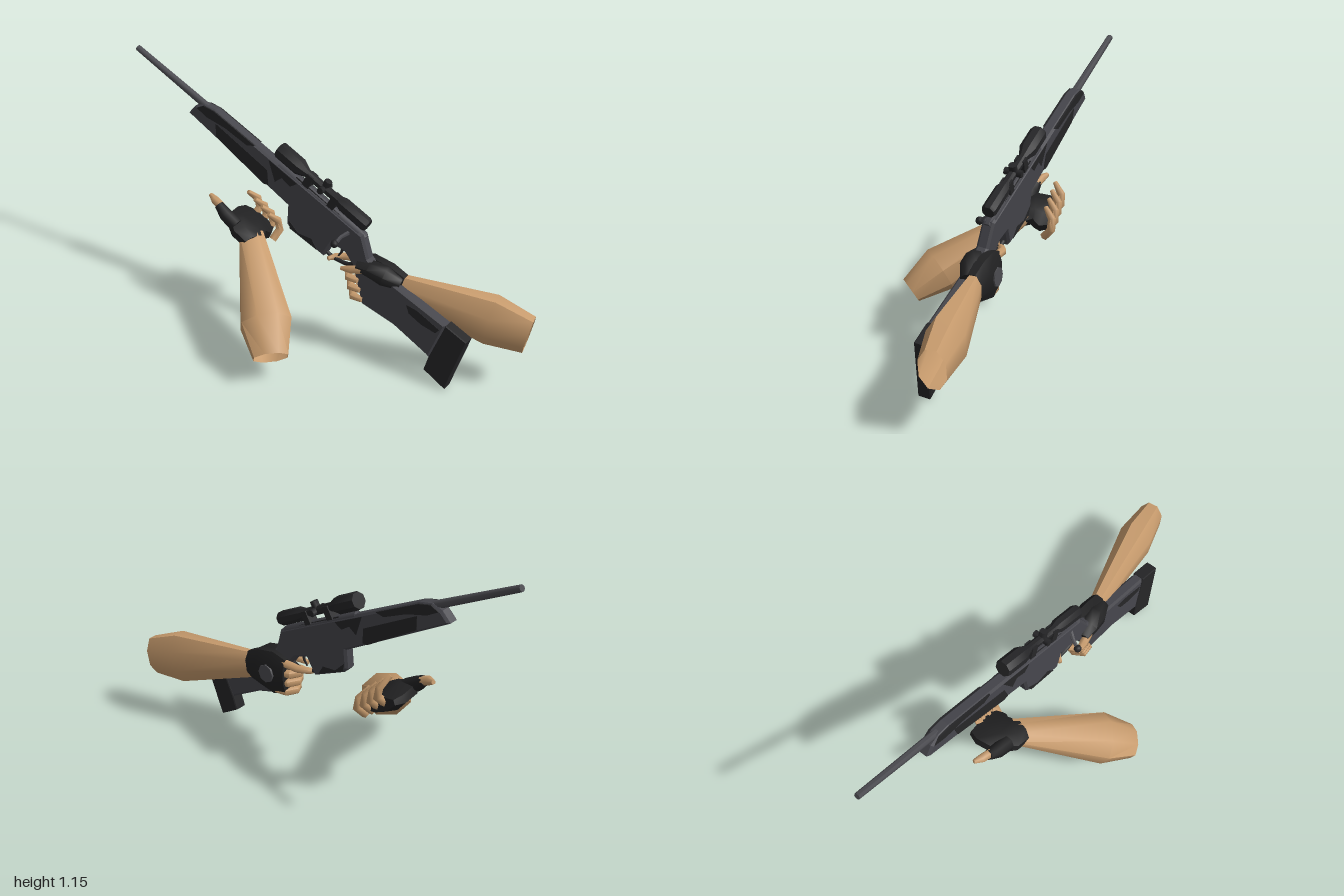
import * as THREE from 'three';
import { toCreasedNormals } from 'three/addons/utils/BufferGeometryUtils.js';

const material = (name, color, side = THREE.FrontSide) => {
  const m = new THREE.MeshStandardMaterial({ color, side });
  m.name = name;
  return m;
};

export function createModel() {
  const grey = material('stock grey', 0x45454b);
  const steel = material('barrel steel', 0x4b4b50);
  const black = material('black', 0x252527);
  const glove = material('glove black', 0x212122);
  const patchGrey = material('glove patch grey', 0x4c4c50);
  const skin = material('skin', 0xc79b6d, THREE.DoubleSide);

  const root = new THREE.Group();
  const rifle = new THREE.Group();
  const leftArm = new THREE.Group();
  const rightArm = new THREE.Group();
  root.name = 'armsWithRifle';
  rifle.name = 'rifle';
  leftArm.name = 'forwardArm';
  rightArm.name = 'triggerArm';
  root.add(rifle, leftArm, rightArm);

  const add = (parent, name, geometry, mat) => {
    const mesh = new THREE.Mesh(geometry, mat);
    mesh.name = name;
    parent.add(mesh);
    return mesh;
  };

  // Side outline extruded to a given thickness, centred on z = 0
  const slab = (name, points, thickness, mat, bevel = 0) => {
    const shape = new THREE.Shape(points.map(p => new THREE.Vector2(...p)));
    const depth = thickness - 2 * bevel;
    const g = new THREE.ExtrudeGeometry(shape, {
      depth, bevelEnabled: bevel > 0, bevelThickness: bevel,
      bevelSize: bevel, bevelOffset: -bevel, bevelSegments: 1,
    });
    return add(rifle, name, g.translate(0, 0, -depth / 2), mat);
  };

  // Skin over elliptical rings: each section is [x, y, z, halfWidth, halfHeight]
  const loft = (parent, name, sections, mat, { ref = [0, 1, 0], sides = 8, caps = true, crease = 0.9 } = {}) => {
    const centres = sections.map(s => new THREE.Vector3(s[0], s[1], s[2]));
    const up = new THREE.Vector3(...ref);
    const pos = [], index = [], last = sections.length - 1;
    sections.forEach(([, , , w, h = w], i) => {
      const t = centres[Math.min(i + 1, last)].clone().sub(centres[Math.max(i - 1, 0)]).normalize();
      const S = t.clone().cross(up).normalize();
      const U = t.clone().cross(S);
      for (let j = 0; j < sides; j++) {
        const a = ((j + 0.5) / sides) * Math.PI * 2;
        const p = centres[i].clone().addScaledVector(S, w * Math.cos(a)).addScaledVector(U, h * Math.sin(a));
        pos.push(p.x, p.y, p.z);
      }
    });
    for (let i = 0; i < last; i++) {
      for (let j = 0; j < sides; j++) {
        const k = (j + 1) % sides;
        const a = i * sides + j, b = i * sides + k, c = a + sides, d = b + sides;
        index.push(a, b, c, b, d, c);
      }
    }
    if (caps) {
      const first = pos.length / 3, end = last * sides;
      pos.push(...centres[0].toArray(), ...centres[last].toArray());
      for (let j = 0; j < sides; j++) {
        const k = (j + 1) % sides;
        index.push(first, k, j, first + 1, end + j, end + k);
      }
    }
    const g = new THREE.BufferGeometry();
    g.setAttribute('position', new THREE.Float32BufferAttribute(pos, 3));
    g.setIndex(index);
    return add(parent, name, toCreasedNormals(g, crease), mat);
  };

  // Stock, receiver and magazine well in one outline
  slab('stock', [
    [-0.686, 0.919], [-0.649, 0.962], [-0.601, 0.978], [-0.542, 0.967], [0.248, 0.598],
    [0.286, 0.497], [0.329, 0.459], [0.435, 0.411], [0.681, 0.31], [0.617, 0.128],
    [0.601, 0.139], [0.435, 0.224], [0.27, 0.272], [0.211, 0.443], [0.168, 0.491],
    [0.1, 0.513], [0.061, 0.438], [-0.115, 0.513], [-0.136, 0.534], [-0.136, 0.625],
  ], 0.055, grey, 0.01);
  slab('buttPad', [[0.681, 0.312], [0.783, 0.267], [0.708, 0.005], [0.601, 0.064], [0.617, 0.13]], 0.056, black, 0.004);

  // Dark inlays showing just proud of both sides
  const inlays = {
    foreendPanel: [[-0.532, 0.908], [-0.248, 0.764], [-0.238, 0.694], [-0.264, 0.694], [-0.526, 0.845]],
    foreendTipPatch: [[-0.638, 0.956], [-0.601, 0.974], [-0.542, 0.962], [-0.32, 0.859], [-0.36, 0.85], [-0.48, 0.9], [-0.58, 0.925]],
    receiverPatch: [[-0.243, 0.815], [-0.09, 0.743], [-0.125, 0.72], [-0.17, 0.748], [-0.205, 0.72]],
    magazinePatch: [[-0.125, 0.56], [-0.07, 0.51], [0, 0.505], [0.03, 0.46], [-0.115, 0.52]],
    stockPatch: [[0.489, 0.347], [0.542, 0.337], [0.654, 0.283], [0.638, 0.262], [0.569, 0.278], [0.505, 0.31]],
  };
  for (const [name, points] of Object.entries(inlays)) slab(name, points, 0.059, black);

  // Barrel and receiver tube
  loft(rifle, 'barrel', [[-0.995, 1.148, 0, 0.014], [-0.56, 0.945, 0, 0.018]], steel);
  loft(rifle, 'receiverTube', [[-0.2, 0.79, 0, 0.026], [0.22, 0.594, 0, 0.026], [0.25, 0.575, 0, 0.018]], grey);

  // Trigger guard, trigger and bolt
  const guardPath = new THREE.CatmullRomCurve3(
    [[0.06, 0.455], [0.1, 0.436], [0.18, 0.428], [0.215, 0.45]].map(p => new THREE.Vector3(...p, 0)));
  add(rifle, 'triggerGuard', new THREE.TubeGeometry(guardPath, 8, 0.009, 6), black);
  loft(rifle, 'trigger', [[0.145, 0.51, 0, 0.007], [0.14, 0.475, 0, 0.006], [0.125, 0.452, 0, 0.004]], black, { sides: 6, ref: [0, 0, 1] });
  loft(rifle, 'boltHandle', [[0.185, 0.595, 0.015, 0.011], [0.16, 0.575, 0.05, 0.009], [0.15, 0.555, 0.075, 0.009]], steel, { sides: 6 });
  add(rifle, 'boltKnob', new THREE.SphereGeometry(0.018, 8, 6).translate(0.147, 0.55, 0.082), black);

  // Scope: s runs from objective to eyepiece, u is height above its axis
  const onScope = (s, u = 0) => [-0.206 + 0.9 * s + 0.436 * u, 0.865 - 0.436 * s + 0.9 * u, 0];
  const scopeProfile = [[0, 0.036], [0.006, 0.039], [0.12, 0.039], [0.165, 0.02], [0.34, 0.02],
    [0.375, 0.032], [0.505, 0.033], [0.516, 0.028]];
  loft(rifle, 'scope', scopeProfile.map(([s, r]) => [...onScope(s), r]), black, { crease: 0.5 });
  loft(rifle, 'elevationTurret', [[...onScope(0.265), 0.018], [...onScope(0.265, 0.042), 0.018]], black, { ref: [0, 0, 1] });
  const [tx, ty] = onScope(0.265);
  loft(rifle, 'windageTurret', [[tx, ty, -0.04, 0.016], [tx, ty, 0.04, 0.016]], black);
  const scopeBox = (name, s, u, size) => {
    const box = add(rifle, name, new THREE.BoxGeometry(...size), black);
    box.position.set(...onScope(s, u));
    box.rotation.z = -0.451;
  };
  scopeBox('scopeRail', 0.265, -0.05, [0.26, 0.016, 0.035]);
  for (const s of [0.19, 0.335]) scopeBox('scopeMount', s, -0.018, [0.035, 0.06, 0.046]);

  // The whole rifle leans slightly away
  rifle.position.z = -0.127;
  rifle.rotation.set(-0.0942, -0.016, 0);

  // Forearms, open at the elbow
  loft(leftArm, 'forearm', [
    [-0.3, 0.45, -0.115, 0.058, 0.036], [-0.03, 0.235, 0.177, 0.118, 0.1], [0.06, 0.15, 0.277, 0.08, 0.055],
  ], skin, { caps: false });
  loft(rightArm, 'forearm', [
    [0.41, 0.378, -0.195, 0.035, 0.062], [0.82, 0.312, -0.268, 0.082, 0.122], [0.985, 0.28, -0.293, 0.058, 0.092],
  ], skin, { caps: false });

  // Forward hand: palm lies along the rifle, fingers curl up behind it
  loft(leftArm, 'glove', [
    [-0.268, 0.435, -0.09, 0.06, 0.038], [-0.305, 0.455, -0.105, 0.085, 0.042], [-0.34, 0.462, -0.145, 0.108, 0.048],
    [-0.345, 0.452, -0.2, 0.108, 0.045], [-0.345, 0.455, -0.245, 0.09, 0.03],
  ], glove, { ref: [0.42, 0.9, 0] });
  loft(leftArm, 'thumbSleeve', [[-0.36, 0.485, -0.09, 0.035], [-0.42, 0.52, -0.095, 0.033], [-0.465, 0.553, -0.105, 0.022]],
    glove, { ref: [0, 0, 1] });
  loft(leftArm, 'thumb', [[-0.45, 0.548, -0.105, 0.02], [-0.495, 0.565, -0.115, 0.02], [-0.528, 0.575, -0.13, 0.01]],
    skin, { sides: 6, ref: [0, 0, 1], crease: 1.2 });
  for (let i = 0; i < 4; i++) {
    const x = -0.385 + 0.036 * i, y = 0.59 - 0.028 * i;
    loft(leftArm, 'finger', [
      [x + 0.02, y - 0.13, -0.225, 0.02], [x + 0.035, y - 0.09, -0.262, 0.02],
      [x + 0.025, y - 0.045, -0.262, 0.018], [x, y, -0.222, 0.01],
    ], skin, { sides: 6, ref: [1, 0, 0], crease: 1.2 });
  }

  // Trigger hand: back of the hand behind the grip, web over its top
  loft(rightArm, 'glove', [
    [0.435, 0.375, -0.197, 0.042, 0.068], [0.37, 0.385, -0.198, 0.05, 0.09],
    [0.28, 0.385, -0.202, 0.046, 0.108], [0.215, 0.385, -0.205, 0.025, 0.085],
  ], glove);
  loft(rightArm, 'thumbWeb', [
    [0.43, 0.405, -0.175, 0.035, 0.03], [0.36, 0.432, -0.158, 0.052, 0.046],
    [0.29, 0.452, -0.15, 0.05, 0.036], [0.235, 0.455, -0.135, 0.028, 0.02],
  ], glove);
  const patch = add(rightArm, 'glovePatch', new THREE.CylinderGeometry(0.042, 0.042, 0.009, 8), patchGrey);
  patch.rotation.x = Math.PI / 2;
  patch.position.set(0.3, 0.385, -0.246);
  loft(rightArm, 'thumb', [[0.27, 0.448, -0.125, 0.02], [0.22, 0.438, -0.118, 0.02], [0.17, 0.43, -0.115, 0.01]],
    skin, { sides: 6, crease: 1.2 });
  loft(rightArm, 'indexFinger', [
    [0.25, 0.445, -0.205, 0.02], [0.15, 0.438, -0.2, 0.019], [0.105, 0.435, -0.175, 0.016], [0.085, 0.433, -0.145, 0.01],
  ], skin, { sides: 6, crease: 1.2 });
  for (let i = 0; i < 3; i++) {
    const x = 0.012 * i, y = 0.395 - 0.045 * i;
    loft(rightArm, 'finger', [
      [0.25 + x, y, -0.205, 0.021], [0.2 + x, y, -0.2, 0.021], [0.182 + x, y, -0.16, 0.021],
      [0.205 + x, y - 0.003, -0.122, 0.02], [0.25 + x, y - 0.008, -0.12, 0.012],
    ], skin, { sides: 6, crease: 1.2 });
  }
  return root;
}
